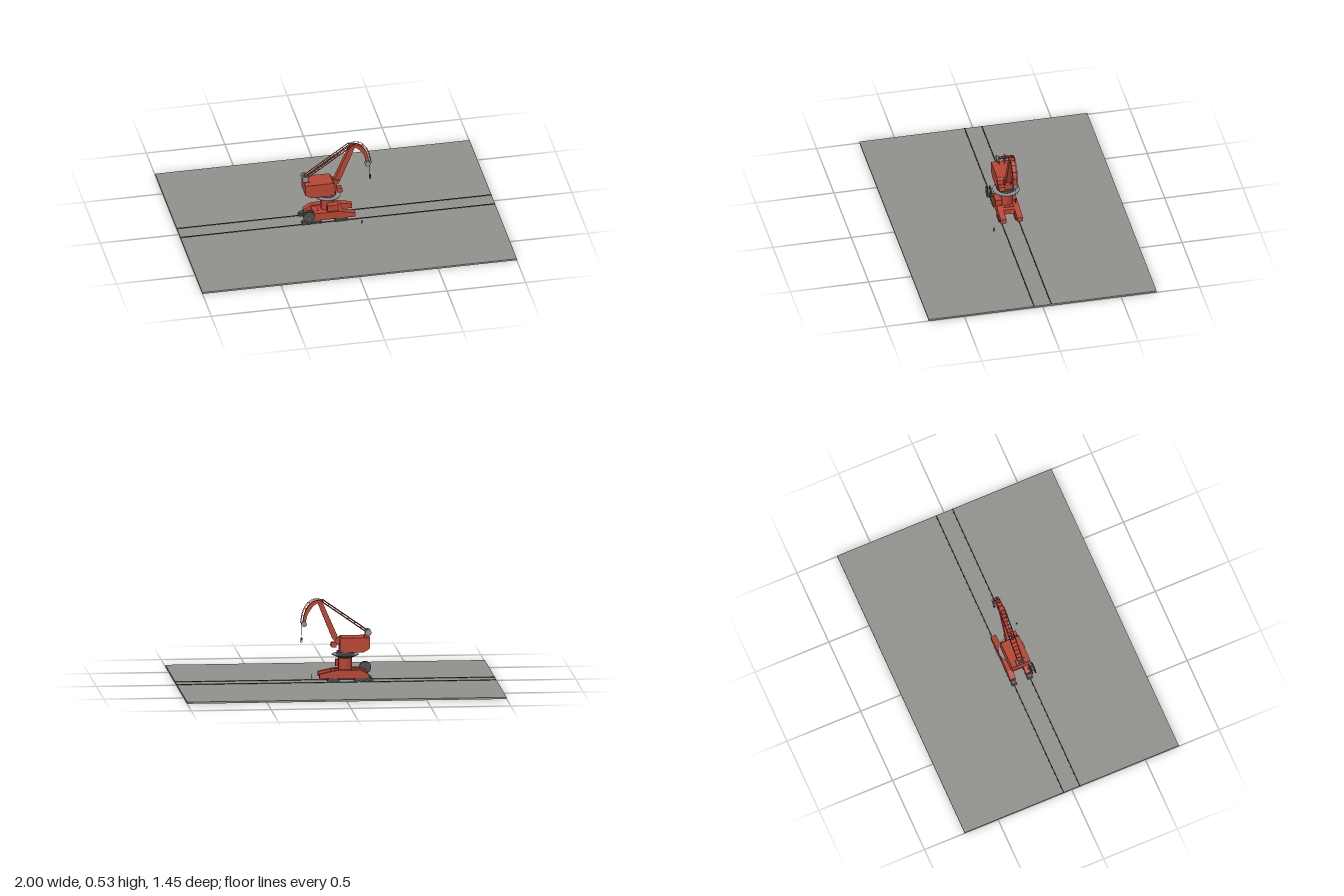
import * as THREE from 'three';

const mat = (name, color) => Object.assign(new THREE.MeshStandardMaterial({ color }), { name });

export function createModel() {
  const red = mat('craneRed', 0xb84635);
  const dark = mat('darkSteel', 0x4b4e50);
  const grey = mat('lightSteel', 0x8f9394);
  const concrete = mat('concrete', 0x92928e);
  const black = mat('black', 0x262626);

  const root = new THREE.Group();
  root.name = 'harbourCrane';
  const add = (name, geo, material, x = 0, y = 0, z = 0) => {
    const m = new THREE.Mesh(geo, material);
    m.name = name;
    m.position.set(x, y, z);
    root.add(m);
    return m;
  };
  const box = (name, w, h, d, material, x, y, z) =>
    add(name, new THREE.BoxGeometry(w, h, d), material, x, y, z);
  // side profile in x/y, extruded across z and centred on z
  const plate = (name, pts, depth, material, z = 0) => {
    const shape = new THREE.Shape(pts.map(([x, y]) => new THREE.Vector2(x, y)));
    const geo = new THREE.ExtrudeGeometry(shape, { depth, bevelEnabled: false });
    return add(name, geo, material, 0, 0, z - depth / 2);
  };
  // cylinder lying along z
  const disc = (name, r, depth, material, x, y, z, sides = 24) => {
    const m = add(name, new THREE.CylinderGeometry(r, r, depth, sides), material, x, y, z);
    m.rotation.x = Math.PI / 2;
    return m;
  };
  // thin bar between two points
  const bar = (name, a, b, r, material) => {
    const p = new THREE.Vector3(...a), q = new THREE.Vector3(...b);
    const d = q.clone().sub(p);
    const m = add(name, new THREE.CylinderGeometry(r, r, d.length(), 6), material);
    m.position.copy(p).add(q).multiplyScalar(0.5);
    m.quaternion.setFromUnitVectors(new THREE.Vector3(0, 1, 0), d.normalize());
    return m;
  };

  // Quay slab and rails
  box('quaySlab', 2, 0.011, 1.454, concrete, 0, 0.0055, 0);
  for (const z of [-0.055, 0.055]) box('rail', 2, 0.003, 0.007, black, 0, 0.0125, z);

  // Travelling base: two side beams on wheeled bogies
  for (const z of [-0.053, 0.053]) {
    plate('baseBeam', [[-0.2, 0.038], [0.11, 0.038], [0.11, 0.066], [0, 0.089], [-0.15, 0.089], [-0.2, 0.06]],
      0.036, red, z);
    for (const [x0, x1] of [[-0.23, -0.105], [-0.02, 0.062]]) {
      plate('bogie', [[x0, 0.02], [x1, 0.02], [x1 - 0.006, 0.033], [x1 - 0.02, 0.039], [x0 + 0.02, 0.039],
        [x0 + 0.006, 0.033]], 0.03, dark, z);
      for (let i = 0; i < 4; i++)
        disc('wheel', 0.009, 0.034, dark, x0 + 0.012 + (x1 - x0 - 0.024) * i / 3, 0.022, z, 16);
    }
  }
  for (const x of [-0.13, 0.01]) box('crossBeam', 0.045, 0.032, 0.08, red, x, 0.066, 0);
  box('baseDeck', 0.12, 0.03, 0.08, red, -0.057, 0.07, 0);

  // Pedestal, with its electrical cabinet
  const column = add('pedestal', new THREE.CylinderGeometry(0.045, 0.045, 0.09, 8), red, -0.057, 0.125, 0);
  column.rotation.y = Math.PI / 8;
  box('cabinet', 0.07, 0.042, 0.042, red, -0.035, 0.12, 0.058);

  // Cable reel
  disc('reelHub', 0.018, 0.028, dark, -0.19, 0.083, 0.08);
  for (const z of [0.07, 0.092]) disc('reelFlange', 0.037, 0.004, dark, -0.19, 0.083, z, 32);
  bar('reelArm', [-0.19, 0.083, 0.065], [-0.15, 0.06, 0.06], 0.006, red);
  bar('reelStay', [-0.19, 0.085, 0.096], [-0.19, 0.055, 0.096], 0.003, grey);

  // Slewing platform
  add('platformCone', new THREE.CylinderGeometry(0.07, 0.046, 0.018, 24), dark, -0.057, 0.17, 0);
  add('platform', new THREE.CylinderGeometry(0.084, 0.084, 0.005, 32), grey, -0.057, 0.181, 0);
  for (let i = 0; i < 12; i++) {
    const a = i * Math.PI / 6, c = Math.cos(a), s = Math.sin(a);
    bar('platformStrut', [-0.057 + 0.045 * c, 0.163, 0.045 * s],
      [-0.057 + 0.08 * c, 0.179, 0.08 * s], 0.002, dark);
  }
  add('slewRing', new THREE.CylinderGeometry(0.055, 0.055, 0.018, 32), dark, -0.057, 0.192, 0);

  // Machinery house, operator cab and boom foot
  plate('machineryHouse', [[-0.17, 0.2], [-0.02, 0.2], [-0.02, 0.278], [-0.03, 0.291], [-0.208, 0.291], [-0.208, 0.224]],
    0.124, red);
  plate('cab', [[-0.005, 0.22], [0.026, 0.22], [0.032, 0.228], [0.026, 0.252], [-0.005, 0.252]], 0.038, red, 0.043);
  box('cabBracket', 0.02, 0.012, 0.03, red, -0.012, 0.24, 0.043);
  for (const z of [-0.02, 0.02])
    plate('boomBracket', [[-0.03, 0.24], [-0.015, 0.24], [0.018, 0.272], [0.018, 0.285], [-0.03, 0.291]], 0.006, red, z);
  disc('boomPin', 0.006, 0.05, dark, 0.003, 0.28, 0);

  // Boom
  plate('boom', [[-0.014, 0.285], [0.003, 0.27], [0.024, 0.28], [0.115, 0.505], [0.11, 0.52], [0.088, 0.518]], 0.034, red);
  disc('boomHeadPin', 0.01, 0.042, red, 0.099, 0.512, 0, 16);

  // Curved jib: girder with light rails along its back
  const arc = (pts, n) => new THREE.CatmullRomCurve3(pts.map(([x, y]) => new THREE.Vector3(x, y, 0))).getPoints(n);
  const outer = arc([[0.085, 0.52], [0.125, 0.522], [0.163, 0.502], [0.193, 0.455], [0.21, 0.385]], 16);
  const inner = arc([[0.09, 0.506], [0.122, 0.502], [0.15, 0.478], [0.178, 0.435], [0.192, 0.382]], 16);
  plate('jib', [...outer, ...inner.reverse()].map(p => [p.x, p.y]), 0.026, red);
  const rail = arc([[0.09, 0.526], [0.128, 0.532], [0.172, 0.51], [0.206, 0.458], [0.222, 0.385]], 12);
  for (const z of [-0.015, 0.015]) {
    const path = new THREE.CatmullRomCurve3(rail.map(p => new THREE.Vector3(p.x, p.y, z)));
    add('jibRail', new THREE.TubeGeometry(path, 24, 0.0016, 5), red);
    for (let i = 0; i <= 12; i += 2)
      bar('railPost', [rail[i].x, rail[i].y, z], [rail[i].x - 0.011, rail[i].y - 0.012, z * 0.8], 0.0015, red);
  }
  for (let i = 0; i <= 12; i += 2)
    bar('railRung', [rail[i].x, rail[i].y, -0.015], [rail[i].x, rail[i].y, 0.015], 0.0015, red);
  disc('jibSheave', 0.017, 0.03, grey, 0.2, 0.374, 0);

  // Lattice tie from the rear of the house to the boom head
  const lo = [-0.195, 0.315], hi = [0.09, 0.515], n = 14;
  const at = (t, up) => [lo[0] + (hi[0] - lo[0]) * t - 0.006 * up, lo[1] + (hi[1] - lo[1]) * t + 0.012 * up];
  for (const z of [-0.017, 0.017]) {
    for (const up of [0, 1]) bar('tieChord', [...at(0, up), z], [...at(1, up), z], 0.0028, red);
    for (let i = 0; i <= n; i += 2) bar('tiePost', [...at(i / n, 0), z], [...at(i / n, 1), z], 0.002, red);
  }
  for (let i = 0; i <= n; i++) bar('tieRung', [...at(i / n, 0), -0.017], [...at(i / n, 0), 0.017], 0.0025, red);

  // Rear sheaves and their support
  for (const z of [-0.025, 0.025]) {
    disc('rearSheave', 0.02, 0.01, grey, -0.2, 0.318, z);
    plate('sheaveStand', [[-0.205, 0.29], [-0.17, 0.29], [-0.19, 0.318], [-0.205, 0.318]], 0.006, red, z * 0.7);
  }
  disc('rearAxle', 0.007, 0.05, dark, -0.2, 0.318, 0, 12);

  // Hoist rope and hook
  bar('hoistRope', [0.214, 0.37, 0], [0.216, 0.285, 0], 0.0014, black);
  add('hookBlock', new THREE.CylinderGeometry(0.005, 0.007, 0.018, 10), black, 0.216, 0.28, 0);
  add('hook', new THREE.TorusGeometry(0.006, 0.002, 6, 12, Math.PI * 1.5), black, 0.216, 0.265, 0)
    .rotation.z = -Math.PI;

  // Dock worker standing beside the crane
  for (const z of [0.118, 0.122]) bar('workerLeg', [0.14, 0.011, z], [0.14, 0.023, z], 0.0014, black);
  box('workerBody', 0.004, 0.011, 0.006, dark, 0.14, 0.028, 0.12);
  add('workerHead', new THREE.SphereGeometry(0.0025, 8, 6), black, 0.14, 0.036, 0.12);

  return root;
}
